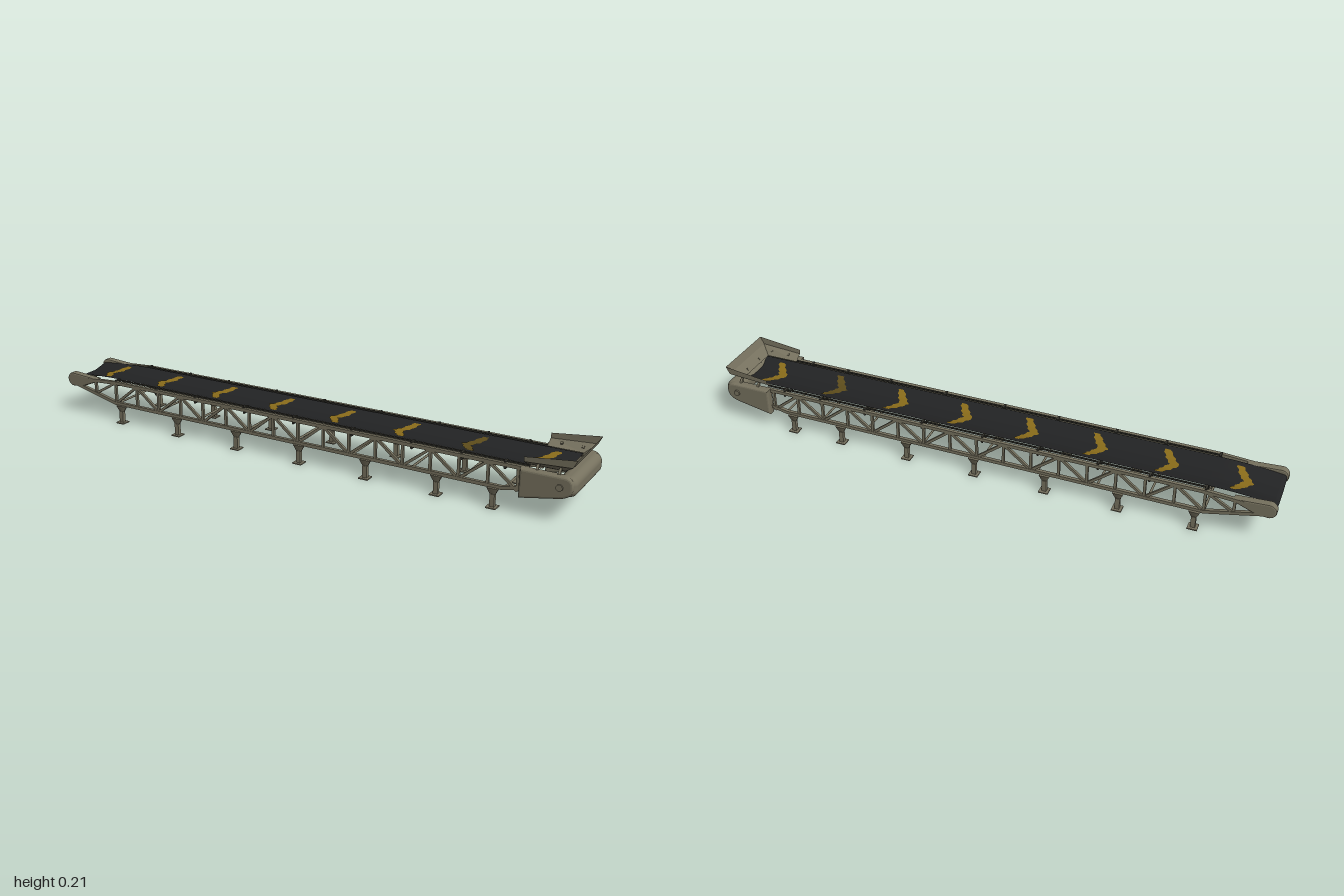
import * as THREE from 'three';
import { RoundedBoxGeometry } from 'three/addons/geometries/RoundedBoxGeometry.js';

const paint = (name, color, side = THREE.FrontSide) => {
  const m = new THREE.MeshStandardMaterial({ color, side });
  m.name = name;
  return m;
};

export function createModel() {
  const model = new THREE.Group();
  model.name = 'conveyor';
  const metal = paint('olive grey metal', 0x77725f);
  const sheet = paint('olive grey sheet', 0x77725f, THREE.DoubleSide);
  const dark = paint('dark steel', 0x33322b);
  const rubber = paint('black rubber', 0x222324, THREE.DoubleSide);
  const yellow = paint('worn yellow', 0x8a6c1a, THREE.DoubleSide);
  const faded = paint('faded yellow', 0x5e4d1b, THREE.DoubleSide);

  const add = (name, geo, mat, x = 0, y = 0, z = 0) => {
    const mesh = new THREE.Mesh(geo, mat);
    mesh.name = name;
    mesh.position.set(x, y, z);
    model.add(mesh);
    return mesh;
  };
  const box = (name, w, h, d, x, y, z, mat = metal) =>
    add(name, new THREE.BoxGeometry(w, h, d), mat, x, y, z);
  // Straight member between two points; round when sides > 4
  const bar = (name, a, b, size, mat = metal, sides = 4) => {
    const p = new THREE.Vector3(...a), q = new THREE.Vector3(...b);
    const dir = q.clone().sub(p), len = dir.length();
    const geo = sides === 4 ? new THREE.BoxGeometry(size, len, size)
      : new THREE.CylinderGeometry(size / 2, size / 2, len, sides);
    const mesh = add(name, geo, mat);
    mesh.position.copy(p).add(q).multiplyScalar(0.5);
    mesh.quaternion.setFromUnitVectors(new THREE.Vector3(0, 1, 0), dir.normalize());
  };
  // Surface patch from a rule (u, v in 0..1)
  const patch = (nu, nv, rule) => {
    const geo = new THREE.PlaneGeometry(1, 1, nu, nv);
    const pos = geo.attributes.position;
    for (let i = 0; i < pos.count; i++) {
      pos.setXYZ(i, ...rule(pos.getX(i) + 0.5, 0.5 - pos.getY(i)));
    }
    geo.computeVertexNormals();
    return geo;
  };

  // Troughed belt that dips at the tail end
  const beltY = (x, z) => {
    const dip = Math.max(0, (-0.77 - x) / 0.21);
    const edge = Math.min(1, Math.max(0, (Math.abs(z) - 0.03) / 0.055));
    return 0.143 + 0.014 * edge - 0.014 * dip * dip;
  };
  add('belt', patch(48, 12, (u, v) => {
    const x = -0.98 + 1.93 * u, z = -0.085 + 0.17 * v;
    return [x, beltY(x, z), z];
  }), rubber);
  add('beltTailWrap', patch(6, 12, (u, v) => {
    const z = -0.085 + 0.17 * v, a = u * 1.8;
    return [-0.98 - 0.014 * Math.sin(a), beltY(-0.98, z) - 0.014 * (1 - Math.cos(a)), z];
  }), rubber);

  // Ragged chevrons on both faces of the belt
  for (let k = 0; k < 8; k++) {
    const cx = -0.87 + k * 0.2457;
    for (const lift of [0.002, -0.002]) {
      add('chevron', patch(3, 20, (u, v) => {
        const t = 2 * v - 1, z = 0.066 * t;
        const rag = 0.003 * Math.sin(v * 37 + k * 2 + u * 4);
        const wide = 0.034 * (1 - 0.35 * t * t);
        const x = cx - 0.032 + 0.047 * Math.abs(t) + wide * u + rag;
        return [x, beltY(x, z) + lift, z];
      }), k === 6 ? faded : yellow);
    }
  }

  // Idler bars and lower cross ties
  for (const x of [-0.77, -0.585, -0.41, -0.2, 0, 0.225, 0.445, 0.62, 0.765]) {
    bar('idlerBar', [x, 0.137, -0.108], [x, 0.137, 0.108], 0.007, dark, 8);
    bar('crossTie', [x, 0.069, -0.107], [x, 0.069, 0.107], 0.008, metal, 8);
    for (const s of [-1, 1]) box('idlerBracket', 0.007, 0.024, 0.024, x, 0.148, s * 0.097, dark);
  }

  const legXs = [-0.743, -0.487, -0.23, 0.027, 0.283, 0.54, 0.733];
  for (const s of [-1, 1]) {
    const z = s * 0.108;
    // Truss rails
    bar('topRail', [-0.77, 0.15, z], [0.84, 0.15, z], 0.012);
    bar('topRailTail', [-0.77, 0.15, z], [-0.96, 0.138, z], 0.012);
    bar('bottomRail', [-0.77, 0.071, z], [0.76, 0.071, z], 0.012);
    bar('bottomRailTail', [-0.77, 0.071, z], [-0.96, 0.116, z], 0.012);
    bar('bottomRailHead', [0.76, 0.071, z], [0.85, 0.09, z], 0.012);
    bar('tailPost', [-0.865, 0.094, z], [-0.865, 0.145, z], 0.009);
    bar('tailBrace', [-0.865, 0.094, z], [-0.77, 0.15, z], 0.009);
    bar('beltSkirt', [-0.77, 0.157, s * 0.094], [0.84, 0.157, s * 0.094], 0.005, dark);
    // Posts and alternating diagonals
    const n = 16, step = 1.58 / n;
    for (let i = 0; i <= n; i++) {
      const x = -0.77 + i * step;
      bar('trussPost', [x, 0.071, z], [x, 0.15, z], 0.009);
      if (i === n) continue;
      const up = i % 2;
      bar('trussDiagonal', [x, up ? 0.15 : 0.071, z], [x + step, up ? 0.071 : 0.15, z], 0.009);
    }
    // Legs with feet and flared saddles
    for (const x of legXs) {
      const lz = s * 0.113;
      box('footPlate', 0.034, 0.004, 0.034, x, 0.002, lz);
      box('legPost', 0.016, 0.044, 0.014, x, 0.024, lz);
      const saddle = add('legSaddle', new THREE.CylinderGeometry(0.026, 0.012, 0.022, 4, 1)
        .rotateY(Math.PI / 4), metal, x, 0.056, lz);
      saddle.scale.z = 0.55;
    }
    // Tail cheek: round cap with tapered arm
    const cheek = new THREE.Shape();
    cheek.moveTo(-0.86, 0.15);
    cheek.lineTo(-0.972, 0.157);
    cheek.absarc(-0.973, 0.131, 0.026, Math.PI / 2, Math.PI * 1.5, false);
    cheek.lineTo(-0.935, 0.108);
    cheek.lineTo(-0.86, 0.138);
    add('tailCheek', new THREE.ExtrudeGeometry(cheek, {
      depth: 0.018, bevelThickness: 0.005, bevelSize: 0.005, bevelOffset: -0.005, bevelSegments: 2,
    }), metal, 0, 0, s * 0.1 - 0.009);
    // Head cheek
    const side = new THREE.Shape();
    side.moveTo(0.82, 0.157);
    side.lineTo(0.82, 0.058);
    side.lineTo(0.95, 0.083);
    side.quadraticCurveTo(0.992, 0.092, 0.992, 0.125);
    side.quadraticCurveTo(0.992, 0.157, 0.96, 0.157);
    add('headCheek', new THREE.ExtrudeGeometry(side, {
      depth: 0.016, bevelThickness: 0.008, bevelSize: 0.008, bevelOffset: -0.008, bevelSegments: 3,
    }), metal, 0, 0, s * 0.117 - 0.008);
    bar('headAxleCap', [0.95, 0.122, s * 0.128], [0.95, 0.122, s * 0.138], 0.022, metal, 12);
    // Small struts below the chute
    bar('chuteStrut', [0.95, 0.152, s * 0.04], [0.96, 0.17, s * 0.04], 0.004);
    bar('chuteBrace', [0.87, 0.155, s * 0.115], [0.87, 0.173, s * 0.1], 0.008);
    bar('chuteBrace', [0.94, 0.155, s * 0.115], [0.94, 0.173, s * 0.1], 0.008);
  }

  // Rounded head guard and tail roller
  add('headGuard', new RoundedBoxGeometry(0.062, 0.067, 0.266, 5, 0.026), metal, 0.969, 0.1235, 0);
  bar('tailRoller', [-0.968, 0.118, -0.09], [-0.968, 0.118, 0.09], 0.018, dark, 12);

  // Flared U-shaped discharge chute
  const rows = [ // rear height, front height, half width, front x
    [0.158, 0.158, 0.086, 0.948],
    [0.175, 0.185, 0.117, 0.982],
    [0.192, 0.212, 0.118, 0.995],
  ];
  const chute = [];
  const corners = rows.map(([yr, yf, w, x]) =>
    [[0.828, yr, w], [x, yf, w], [x, yf, -w], [0.828, yr, -w]]);
  for (let r = 0; r < 2; r++) {
    for (let c = 0; c < 3; c++) {
      const a = corners[r][c], b = corners[r][c + 1];
      const d = corners[r + 1][c], e = corners[r + 1][c + 1];
      chute.push(...a, ...b, ...e, ...a, ...e, ...d);
    }
  }
  const chuteGeo = new THREE.BufferGeometry();
  chuteGeo.setAttribute('position', new THREE.Float32BufferAttribute(chute, 3));
  chuteGeo.computeVertexNormals();
  add('dischargeChute', chuteGeo, sheet);

  return model;
}
